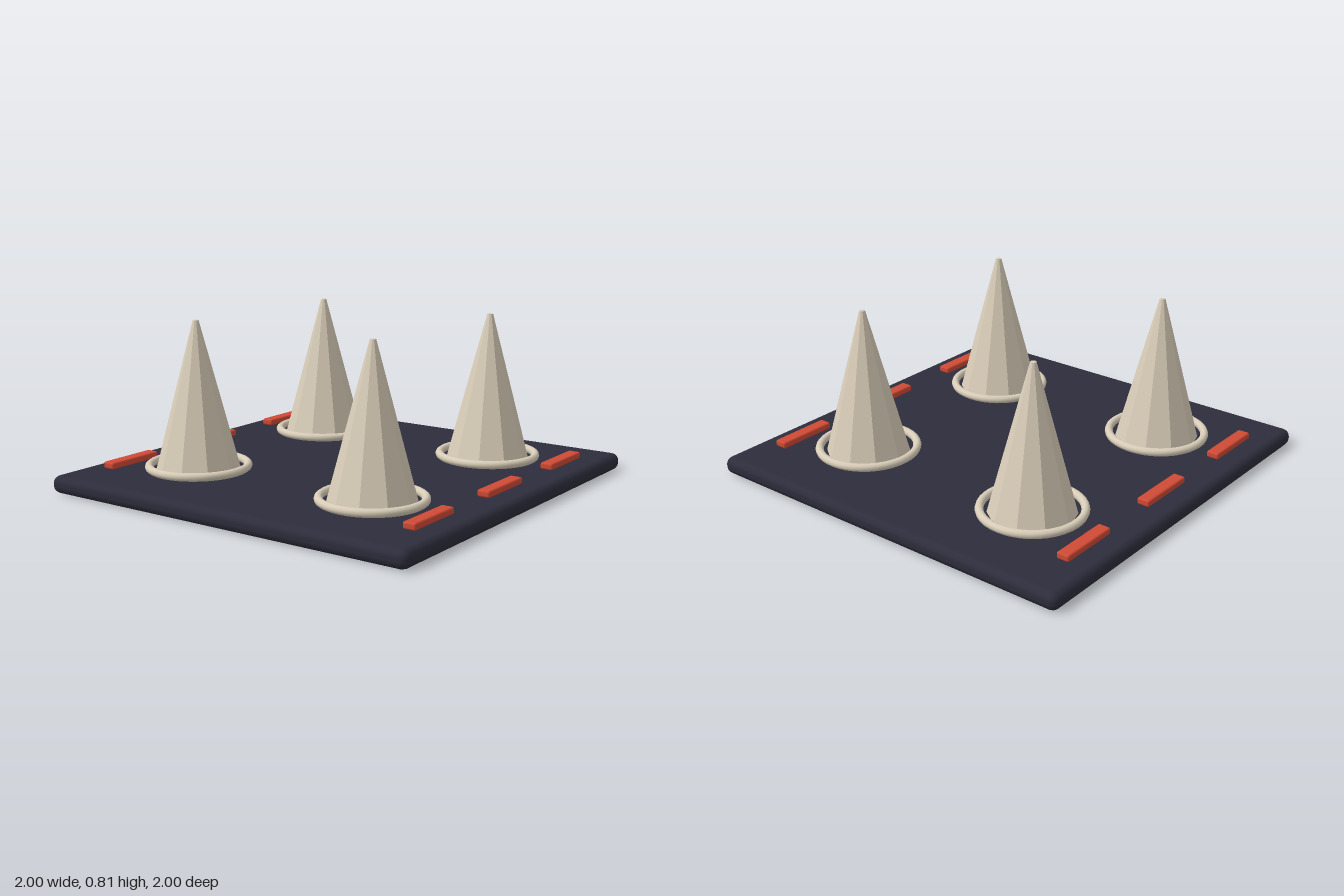
import * as THREE from 'three';
import { RoundedBoxGeometry } from 'three/addons/geometries/RoundedBoxGeometry.js';

const material = (name, color, flatShading = false) => {
  const m = new THREE.MeshStandardMaterial({ color, flatShading });
  m.name = name;
  return m;
};

export function createModel() {
  const model = new THREE.Group();
  model.name = 'spikePlate';

  const navy = material('darkNavy', 0x2d2d3c);
  const bone = material('bone', 0xd8cdb8);
  const boneFaceted = material('boneFaceted', 0xd8cdb8, true);
  const red = material('warningRed', 0xd04a35);

  const add = (parent, name, geometry, mat, x, y, z) => {
    const mesh = new THREE.Mesh(geometry, mat);
    mesh.name = name;
    mesh.position.set(x, y, z);
    parent.add(mesh);
    return mesh;
  };

  // Base plate with softened edges
  add(model, 'basePlate', new RoundedBoxGeometry(2, 0.086, 2, 2, 0.038), navy, 0, 0.043, 0);

  // Ten-sided blunt spikes, each inside a collar ring
  const spikeGeometry = new THREE.CylinderGeometry(0.014, 0.206, 0.73, 10);
  const ringGeometry = new THREE.TorusGeometry(0.237, 0.02, 10, 40).rotateX(Math.PI / 2);
  for (const x of [-0.505, 0.505]) {
    for (const z of [-0.505, 0.505]) {
      const spike = new THREE.Group();
      spike.name = 'spikeAssembly';
      spike.position.set(x, 0, z);
      add(spike, 'spike', spikeGeometry, boneFaceted, 0, 0.445, 0);
      add(spike, 'collarRing', ringGeometry, bone, 0, 0.109, 0);
      model.add(spike);
    }
  }

  // Warning strips along the front and back edges
  const stripGeometry = new RoundedBoxGeometry(0.31, 0.034, 0.064, 2, 0.01);
  for (const z of [-0.858, 0.858]) {
    for (const x of [-0.605, 0, 0.605]) {
      add(model, 'warningStrip', stripGeometry, red, x, 0.105, z);
    }
  }

  return model;
}
